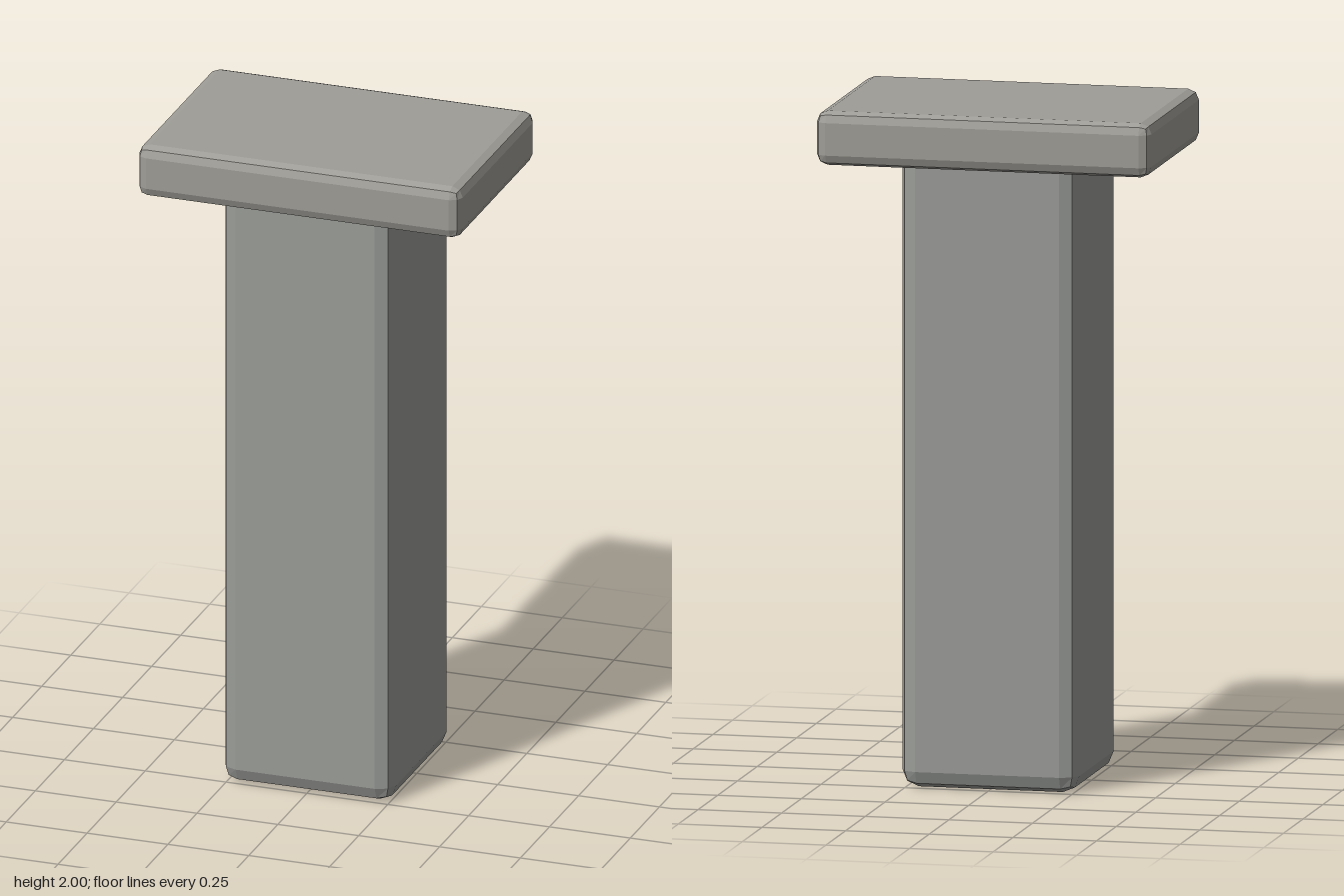
import * as THREE from 'three';
import { RoundedBoxGeometry } from 'three/addons/geometries/RoundedBoxGeometry.js';

// Box with a two-facet bevel, spanning bottom..top in y
function bevelledBox(name, width, depth, bottom, top, bevel, color) {
  const geometry = new RoundedBoxGeometry(width, top - bottom, depth, 1, bevel);
  const material = new THREE.MeshStandardMaterial({ color, flatShading: true });
  const mesh = new THREE.Mesh(geometry, material);
  mesh.name = name;
  mesh.position.y = (bottom + top) / 2;
  return mesh;
}

export function createModel() {
  const group = new THREE.Group();
  group.name = 'pillar';
  // Square column, its top buried just inside the slab to avoid coplanar faces
  group.add(bevelledBox('column', 0.53, 0.53, 0, 1.995, 0.05, 0x9a9c98));
  // Wider rectangular slab on top
  group.add(bevelledBox('topSlab', 1, 0.665, 1.84, 2, 0.032, 0x9f9d97));
  return group;
}
